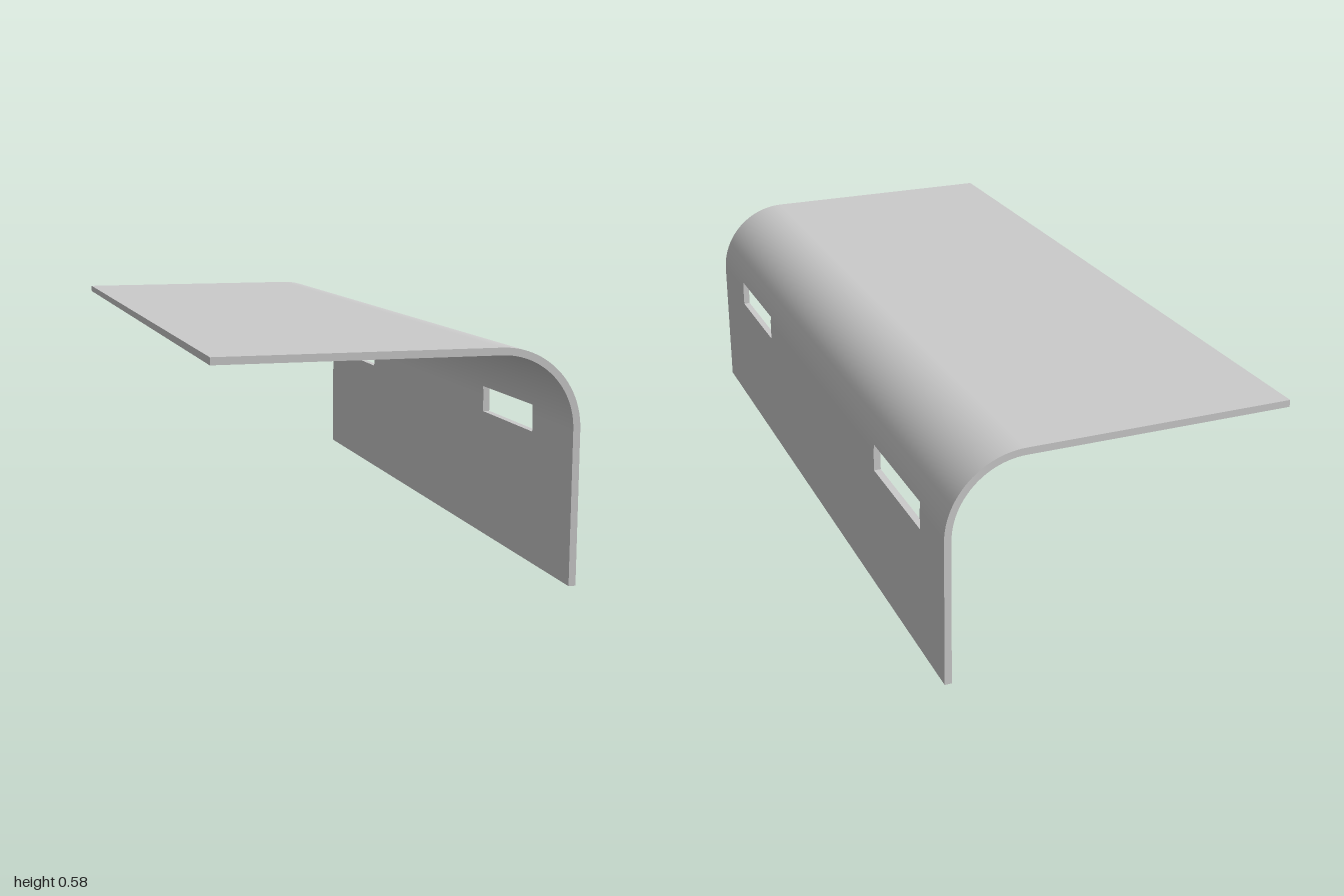
import * as THREE from 'three';

const HALF_W = 0.444, HEIGHT = 0.58, RADIUS = 0.2, THICK = 0.018;
const BEND_STEPS = 24;
const SLOT_BOTTOM = 0.335;
const Z = [-1, -0.846, -0.519, 0.439, 0.766, 1]; // ends of the sheet and of the slots

// Stations along the bent profile: outer point, inner point and outward normal
function profileStations() {
  const list = [];
  const add = (x, y, nx, ny) => list.push({
    outer: [x, y], inner: [x - nx * THICK, y - ny * THICK], n: [nx, ny],
  });
  add(HALF_W, 0, 1, 0);
  add(HALF_W, SLOT_BOTTOM, 1, 0);
  for (let k = 0; k <= BEND_STEPS; k++) {
    const a = (k / BEND_STEPS) * Math.PI / 2, c = Math.cos(a), s = Math.sin(a);
    add(HALF_W - RADIUS + RADIUS * c, HEIGHT - RADIUS + RADIUS * s, c, s);
  }
  add(-HALF_W, HEIGHT, 0, 1);
  return list;
}

function bentSheetGeometry() {
  const st = profileStations();
  const rows = st.length - 1, cols = Z.length - 1;
  const pos = [], nor = [];

  // Quad with given corner normals, turned to face along them
  const quad = (p, n) => {
    const [a, b, c] = p.map((v) => new THREE.Vector3(...v));
    const face = b.sub(a).cross(c.sub(a));
    const order = face.dot(new THREE.Vector3(...n[0])) > 0 ? [0, 1, 2, 0, 2, 3] : [0, 2, 1, 0, 3, 2];
    for (const i of order) { pos.push(...p[i]); nor.push(...n[i]); }
  };

  // Slots run from the flange just into the start of the bend
  const solid = (i, j) => i >= 0 && i < rows && j >= 0 && j < cols
    && !((j === 1 || j === 3) && i >= 1 && i <= 3);

  for (let i = 0; i < rows; i++) {
    for (let j = 0; j < cols; j++) {
      if (!solid(i, j)) continue;
      const s = st[i], t = st[i + 1], z0 = Z[j], z1 = Z[j + 1];

      // Outer and inner skins
      for (const [side, sign] of [['outer', 1], ['inner', -1]]) {
        const ns = [s.n[0] * sign, s.n[1] * sign, 0], nt = [t.n[0] * sign, t.n[1] * sign, 0];
        quad([[...s[side], z0], [...s[side], z1], [...t[side], z1], [...t[side], z0]], [ns, ns, nt, nt]);
      }

      // Cut edges across the sheet and along slot ends
      for (const [dj, z] of [[-1, z0], [1, z1]]) {
        if (solid(i, j + dj)) continue;
        quad([[...s.outer, z], [...t.outer, z], [...t.inner, z], [...s.inner, z]], Array(4).fill([0, 0, dj]));
      }

      // Cut edges along the length of the sheet and the slots
      for (const [di, e] of [[-1, s], [1, t]]) {
        if (solid(i + di, j)) continue;
        const n = [-e.n[1] * di, e.n[0] * di, 0];
        quad([[...e.outer, z0], [...e.outer, z1], [...e.inner, z1], [...e.inner, z0]], Array(4).fill(n));
      }
    }
  }

  const geo = new THREE.BufferGeometry();
  geo.setAttribute('position', new THREE.Float32BufferAttribute(pos, 3));
  geo.setAttribute('normal', new THREE.Float32BufferAttribute(nor, 3));
  return geo;
}

export function createModel() {
  const group = new THREE.Group();
  group.name = 'bentBracket';
  const sheet = new THREE.Mesh(bentSheetGeometry(), new THREE.MeshStandardMaterial({ color: 0xcccccc }));
  sheet.name = 'slottedBentSheet';
  group.add(sheet);
  return group;
}
